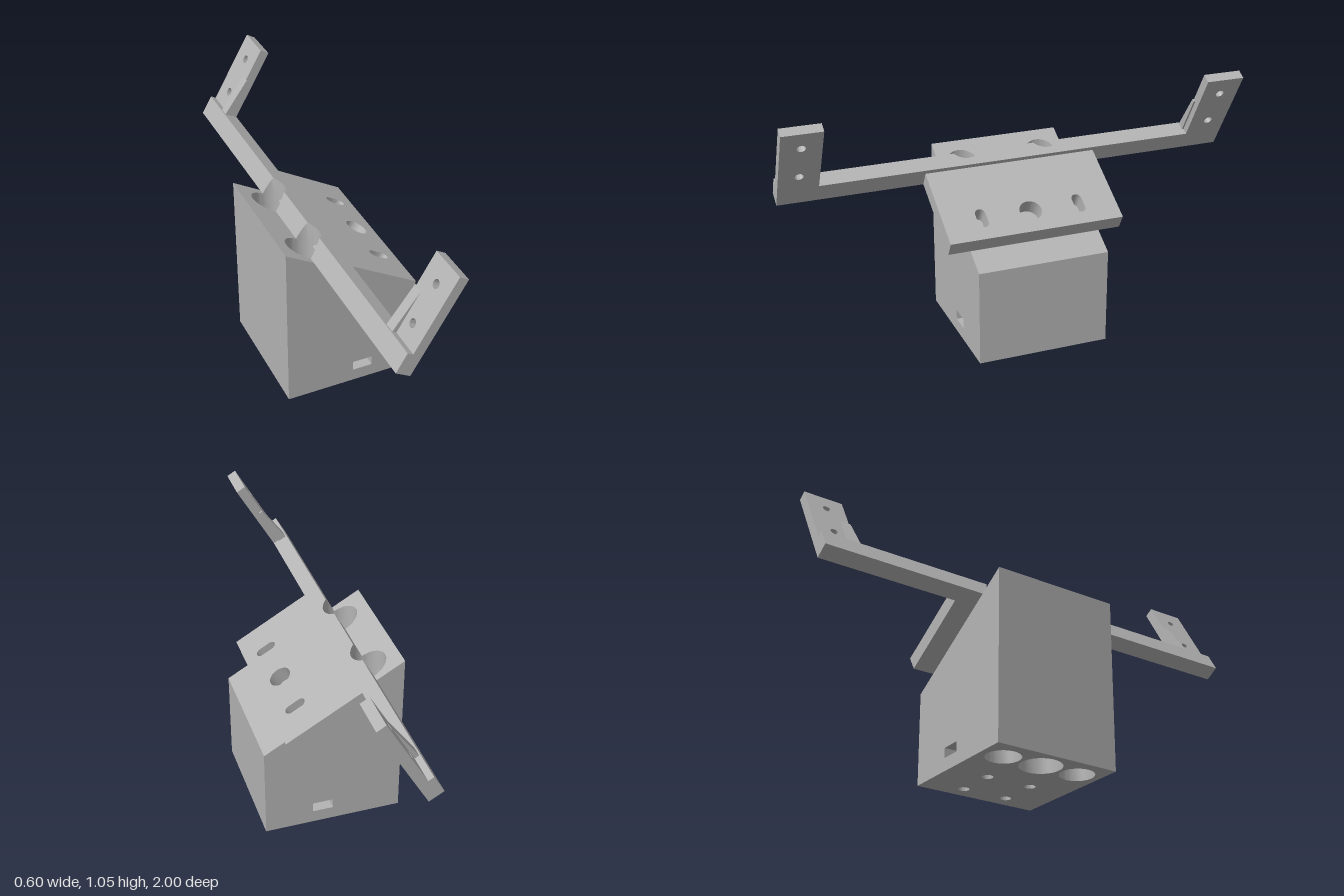
import * as THREE from 'three';
import { toCreasedNormals } from 'three/addons/utils/BufferGeometryUtils.js';

const TILT = Math.PI / 6;
const COS = Math.cos(TILT), SIN = Math.sin(TILT);
const HALF_X = 0.3, HALF_Z = 0.285, HIGH = 0.76;
const HOLE_X = -0.18, HOLE_Z = 0.18, HOLE_R = 0.074;
const slopeY = (x) => HIGH - (x + HALF_X) * Math.tan(TILT);
// point at distance u down the slope and n above it
const onSlope = (u, n) => [-HALF_X + u * COS + n * SIN, HIGH - u * SIN + n * COS];

function polygon(points) {
  return new THREE.Shape(points.map(([x, y]) => new THREE.Vector2(x, y)));
}
function rect(x0, y0, x1, y1) {
  return polygon([[x0, y0], [x1, y0], [x1, y1], [x0, y1]]);
}
function circle(x, y, r) {
  return new THREE.Path().absarc(x, y, r, 0, Math.PI * 2, true);
}
function extrude(shape, depth) {
  return new THREE.ExtrudeGeometry(shape, { depth, bevelEnabled: false, curveSegments: 24 });
}

// One horizontal layer of the base block, pierced by vertical holes
function baseLayer(outline, y0, y1, holes, sloped) {
  const shape = polygon(outline);
  shape.holes = holes.map(([x, z, r]) => circle(x, z, r));
  const geo = extrude(shape, y1 - y0).rotateX(-Math.PI / 2).translate(0, y0, 0);
  if (sloped) {
    const p = geo.attributes.position;
    for (let i = 0; i < p.count; i++) {
      if (p.getY(i) > y0 + 0.001) p.setY(i, slopeY(p.getX(i)));
    }
  }
  return toCreasedNormals(geo, 0.6);
}

// Tilted bar whose uphill side is notched by the two vertical holes
function barGeometry() {
  const [A, B, C, D] = [[0.139, 0], [0.208, 0], [0.208, 0.09], [0.139, 0.09]].map(([u, n]) => onSlope(u, n));
  const between = (p, q, x) => p[1] + (q[1] - p[1]) * (x - p[0]) / (q[0] - p[0]);
  const lower = (x) => (x < B[0] ? between(A, B, x) : between(B, C, x));
  const upper = (x) => (x < D[0] ? between(A, D, x) : between(D, C, x));
  const slices = [[-1, A[0]]];
  for (const zc of [-HOLE_Z, HOLE_Z]) {
    for (let i = 0; i <= 24; i++) {
      const a = (i / 24) * Math.PI;
      slices.push([zc - HOLE_R * Math.cos(a), Math.max(A[0], HOLE_X + HOLE_R * Math.sin(a))]);
    }
  }
  slices.push([1, A[0]]);
  const rings = slices.map(([z, x]) => {
    const xb = Math.max(B[0], x), xd = Math.max(D[0], x);
    return [[x, lower(x), z], [xb, lower(xb), z], [C[0], C[1], z], [xd, upper(xd), z], [x, upper(x), z]];
  });
  const pos = [];
  const tri = (a, b, c) => pos.push(...a, ...b, ...c);
  for (let s = 0; s < rings.length - 1; s++) {
    const r = rings[s], q = rings[s + 1];
    for (let i = 0; i < 5; i++) {
      const j = (i + 1) % 5;
      tri(r[i], r[j], q[j]);
      tri(r[i], q[j], q[i]);
    }
  }
  const first = rings[0], last = rings[rings.length - 1];
  for (let i = 1; i < 3; i++) {
    tri(last[0], last[i], last[i + 1]);
    tri(first[0], first[i + 1], first[i]);
  }
  const geo = new THREE.BufferGeometry();
  geo.setAttribute('position', new THREE.Float32BufferAttribute(pos, 3));
  return toCreasedNormals(geo, 0.5);
}

export function createModel() {
  const model = new THREE.Group();
  model.name = 'angledMount';
  const grey = new THREE.MeshStandardMaterial({ color: 0xb4b4b4 });
  grey.name = 'plain grey';
  const add = (parent, name, geo) => {
    const mesh = new THREE.Mesh(geo, grey);
    mesh.name = name;
    parent.add(mesh);
    return mesh;
  };

  // Base block in layers: foot, layer with side pockets, body, sloped top
  const base = new THREE.Group();
  base.name = 'base';
  model.add(base);
  const X = HALF_X, Z = HALF_Z, P = HALF_Z - 0.06;
  const plain = [[-X, -Z], [X, -Z], [X, Z], [-X, Z]];
  const pocketed = [
    [-X, -Z], [0, -Z], [0, -P], [0.09, -P], [0.09, -Z], [X, -Z],
    [X, Z], [0.09, Z], [0.09, P], [0, P], [0, Z], [-X, Z],
  ];
  const through = [[HOLE_X, HOLE_Z, HOLE_R], [HOLE_X, -HOLE_Z, HOLE_R]];
  const deep = [...through, [HOLE_X, 0, 0.09]];
  const screws = [];
  for (const x of [0.046, 0.226]) for (const z of [-0.105, 0.105]) screws.push([x, z, 0.024]);
  add(base, 'baseFoot', baseLayer(plain, 0, 0.057, [...deep, ...screws]));
  add(base, 'basePocketLayer', baseLayer(pocketed, 0.057, 0.101, [...deep, ...screws]));
  add(base, 'baseBody', baseLayer(plain, 0.101, 0.38, deep));
  add(base, 'baseSlopedTop', baseLayer(plain, 0.38, 0.5, through, true));

  // Crossbar lying on the slope
  add(model, 'crossbar', barGeometry());

  // Parts aligned with the slope: x runs downhill, y away from the slope
  const tilted = new THREE.Group();
  tilted.name = 'tiltedParts';
  tilted.position.set(-HALF_X, HIGH, 0);
  tilted.rotation.z = -TILT;
  model.add(tilted);

  // Mounting plate with a round hole and two slots
  const plate = rect(0.208, -0.38, 0.577, 0.38);
  plate.holes.push(circle(0.473, 0, 0.048));
  for (const z of [-0.215, 0.215]) {
    const slot = new THREE.Path();
    slot.absarc(0.473 + 0.024, z, 0.022, -Math.PI / 2, Math.PI / 2, false);
    slot.absarc(0.473 - 0.024, z, 0.022, Math.PI / 2, Math.PI * 1.5, false);
    plate.holes.push(slot);
  }
  add(tilted, 'mountingPlate', toCreasedNormals(extrude(plate, 0.07).rotateX(-Math.PI / 2), 0.6));

  // Upright arm and thin rib at each end of the bar
  for (const side of [1, -1]) {
    const name = side > 0 ? 'front' : 'back';
    const [z0, z1] = side > 0 ? [0.83, 1] : [-1, -0.83];
    const arm = rect(-z1, 0.09, -z0, 0.427);
    for (const n of [0.167, 0.34]) arm.holes.push(circle(-side * 0.915, n, 0.018));
    const armGeo = extrude(arm, 0.043).rotateY(Math.PI / 2).translate(0.165, 0, 0);
    add(tilted, name + 'Arm', toCreasedNormals(armGeo, 0.6));

    const rib = polygon([[0.145, 0.09], [0.18, 0.09], [0.18, 0.274], [0.165, 0.274]]);
    const ribGeo = extrude(rib, 0.046).translate(0, 0, side > 0 ? 0.822 : -0.868);
    add(tilted, name + 'Rib', ribGeo);
  }
  return model;
}
